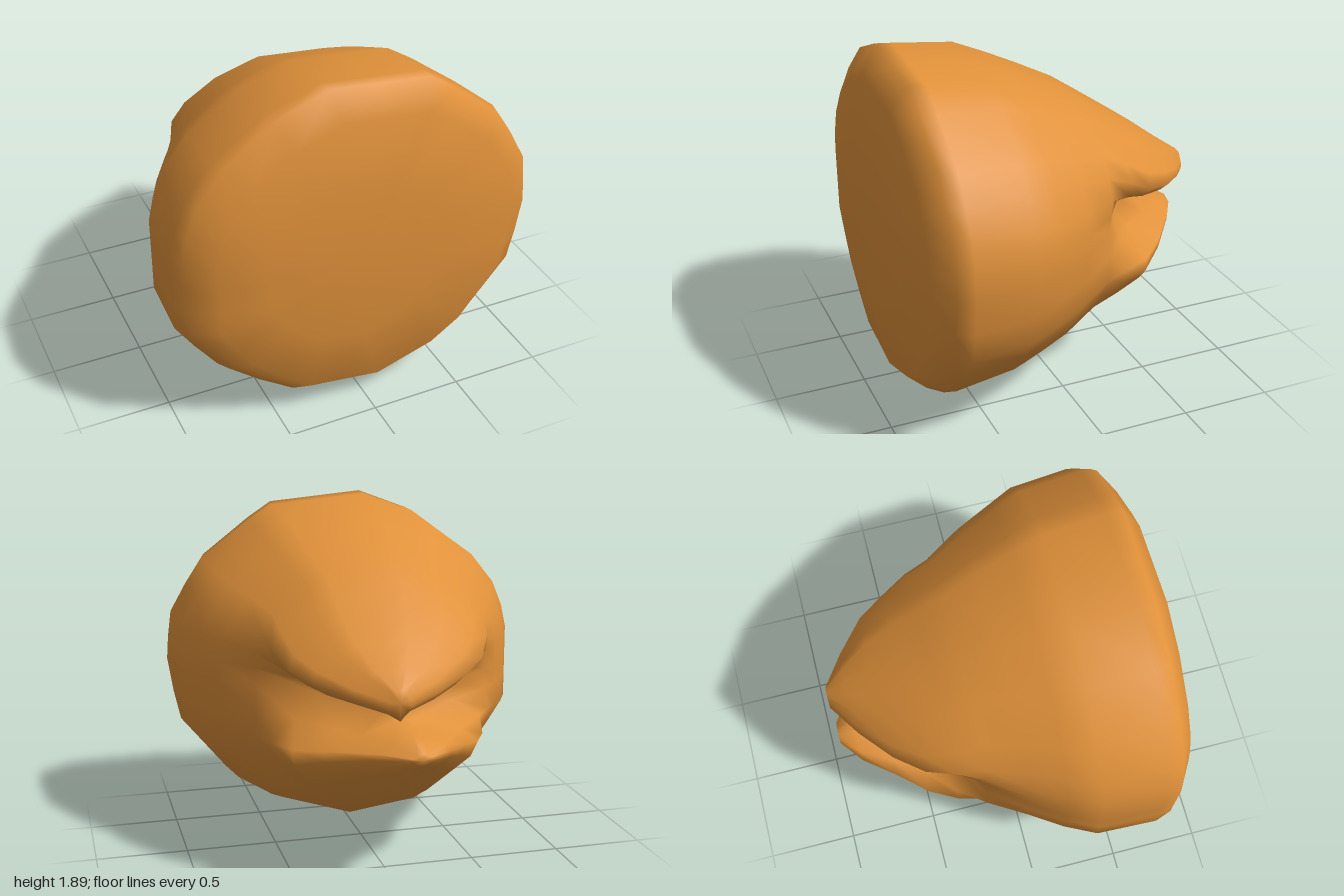
import * as THREE from 'three';
import { mergeVertices } from 'three/addons/utils/BufferGeometryUtils.js';

// Slightly irregular outline of the widest section, counter-clockwise, in two halves
// that each start at the waist
const UPPER_HALF = [
  [1, 0.945], [0.99, 1.08], [0.97, 1.23], [0.88, 1.39], [0.78, 1.54], [0.5, 1.75], [0.36, 1.84],
  [0.08, 1.865], [-0.2, 1.89], [-0.5, 1.78], [-0.77, 1.58], [-0.91, 1.4], [-0.97, 1.25], [-1, 1.11],
];
const LOWER_HALF = [
  [-1, 0.945], [-1, 0.81], [-1, 0.66], [-0.9, 0.51], [-0.78, 0.35], [-0.6, 0.2], [-0.4, 0.06],
  [-0.16, 0.03], [0.08, 0], [0.47, 0.12], [0.67, 0.25], [0.8, 0.41], [0.93, 0.57], [0.97, 0.75],
];
const UNIT = [...UPPER_HALF, ...LOWER_HALF].map(([x, y]) => [x, (y - 0.945) / 0.945]);
const N = UNIT.length, HALF = UPPER_HALF.length;

// Cross-section: z, centre x, half width, top, bottom, waist height, pinch at the waist
function section([z, cx, rx, top, bottom, waist, pinch]) {
  return UNIT.map(([u, v]) => {
    const x = cx + rx * u * (1 - pinch * Math.exp(-((v / 0.28) ** 2)));
    return new THREE.Vector3(x, waist + v * (v > 0 ? top - waist : waist - bottom), z);
  });
}

// Body, from the flat front to where the cleft cuts right through
const BODY = [
  [0.92, -0.08, 0.5, 1.36, 0.48, 0.945, 0],
  [0.87, 0.01, 0.83, 1.74, 0.12, 0.945, 0],
  [0.78, 0, 0.97, 1.89, 0.05, 0.945, 0],
  [0.69, 0, 1, 1.88, 0, 0.945, 0],
  [0.35, -0.01, 0.98, 1.84, 0.05, 0.945, 0],
  [0.18, -0.01, 0.9, 1.77, 0.09, 0.95, 0],
  [0, 0, 0.8, 1.69, 0.14, 0.97, 0],
  [-0.2, -0.01, 0.7, 1.59, 0.24, 0.99, 0.08],
  [-0.35, -0.01, 0.68, 1.49, 0.32, 0.96, 0.5],
  [-0.5, 0, 0.62, 1.39, 0.41, 0.89, 1],
];
const JOINT = BODY[BODY.length - 1];
// Upper and lower lips behind the joint
const UPPER_LIP = [JOINT,
  [-0.65, 0.02, 0.49, 1.29, 0.5, 0.91, 1],
  [-0.8, 0.03, 0.28, 1.18, 0.6, 0.925, 1],
  [-0.92, 0.04, 0.07, 1.1, 0.7, 0.94, 1]];
const LOWER_LIP = [JOINT,
  [-0.65, -0.01, 0.46, 1.29, 0.52, 0.865, 1],
  [-0.82, -0.06, 0.25, 1.19, 0.63, 0.83, 1],
  [-0.92, -0.08, 0.07, 1.1, 0.7, 0.765, 1]];

function createBlobGeometry() {
  const positions = [];
  const tri = (...points) => points.forEach((p) => positions.push(p.x, p.y, p.z));
  // Skin a run of sections over the point range from..to
  const skin = (rows, from, to) => {
    const rings = rows.map(section);
    for (let s = 0; s < rings.length - 1; s++) {
      for (let i = from; i < to; i++) {
        const j = (i + 1) % N;
        const a = rings[s][i], b = rings[s][j], c = rings[s + 1][i], d = rings[s + 1][j];
        tri(a, c, b);
        tri(b, c, d);
      }
    }
    return rings;
  };
  // Close a ring with a fan
  const cap = (ring, from, to, back) => {
    const centre = new THREE.Vector3();
    for (let i = from; i < to; i++) centre.addScaledVector(ring[i], 1 / (to - from));
    for (let i = from; i < to; i++) {
      const a = ring[i], b = ring[(i + 1) % N];
      if (back) tri(centre, b, a);
      else tri(centre, a, b);
    }
  };
  cap(skin(BODY, 0, N)[0], 0, N, false);
  cap(skin(UPPER_LIP, 0, HALF).at(-1), 0, HALF, true);
  cap(skin(LOWER_LIP, HALF, N).at(-1), HALF, N, true);

  const soup = new THREE.BufferGeometry();
  soup.setAttribute('position', new THREE.Float32BufferAttribute(positions, 3));
  const geometry = mergeVertices(soup, 1e-4);
  geometry.computeVertexNormals();
  return geometry;
}

export function createModel() {
  const orange = new THREE.MeshStandardMaterial({ color: 0xe0913a });
  orange.name = 'orange';
  const body = new THREE.Mesh(createBlobGeometry(), orange);
  body.name = 'cleftBody';
  const group = new THREE.Group();
  group.name = 'roundedCleftShape';
  group.add(body);
  return group;
}
